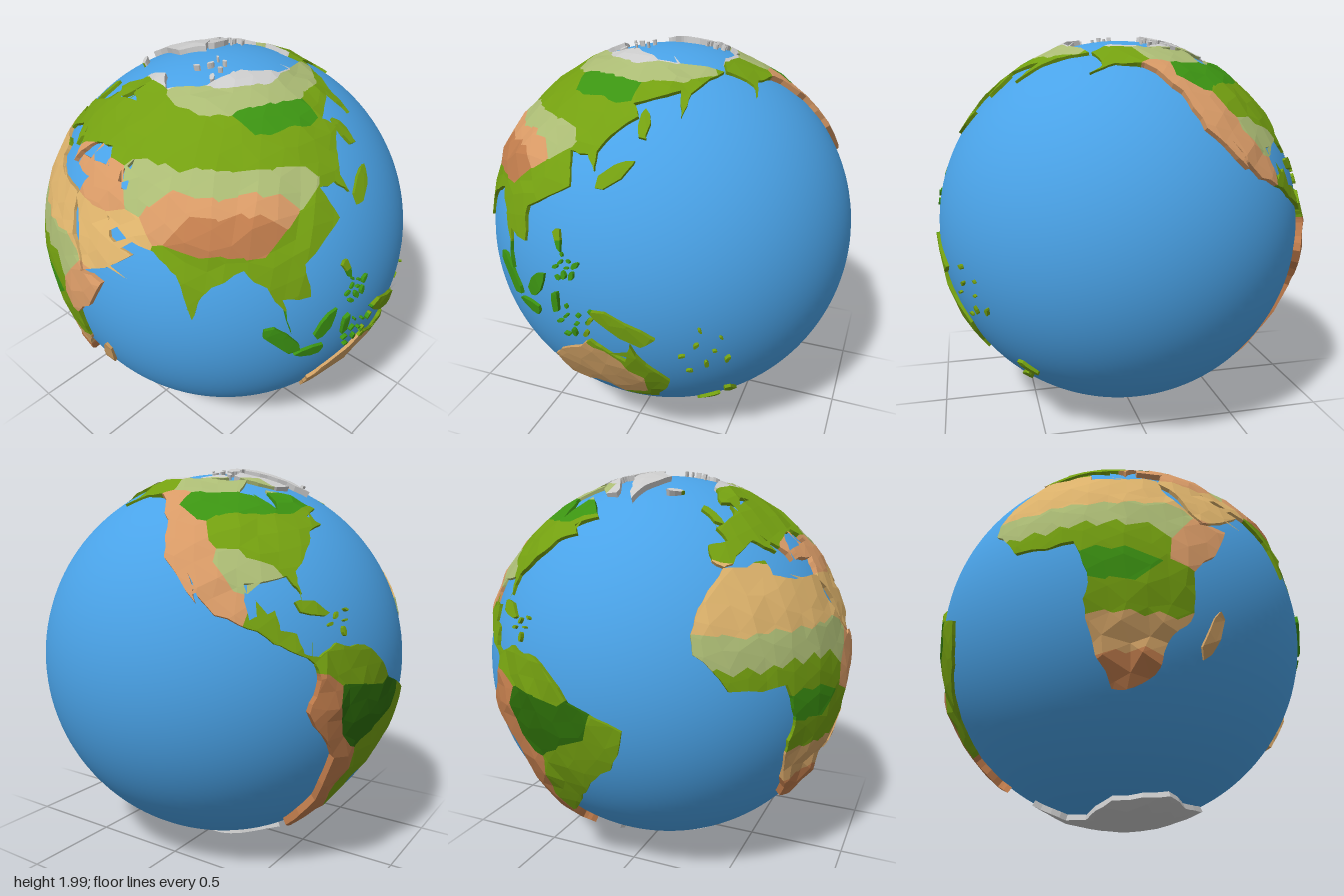
import * as THREE from 'three';

const SEA = 0.967; // sea radius
const FRONT_LON = 43.5; // longitude facing +z
const CENTER = new THREE.Vector3(0.012, 1.005, -0.017);

const COLORS = {
  ice: 0xbcbcbc, steppe: 0xabbb74, forest: 0x3c9412, green: 0x74a010, jungle: 0x2c6c08,
  desert: 0xdfb46c, tan: 0xcfa064, highland: 0xd89a66, mountain: 0xc07c4c,
};
const RISE = { ice: 0.012, highland: 0.01, mountain: 0.02 };

// Climate belts: latitude, from longitude, to longitude, end latitude if slanted
const BELTS = {
  ice: [[-80, -180, 170], [76, -180, 170], [66, -60, -35]],
  steppe: [[67, 65, 165], [65, -130, -75], [43, 58, 108], [13, -14, 32], [32, -98, -92]],
  forest: [[61, 97, 128], [56, -115, -78], [-4, 15, 22], [0, 100, 122]],
  green: [[58, -5, 90], [50, 5, 140], [60, 142, 175], [24, 104, 135, 40], [17, 76, 104], [6, -10, 26], [-11, 14, 35],
    [-6, 142, 152, -34], [-41, 147, 175], [64, -160, -138], [44, -98, -66], [36, -90, -78], [17, -92, -56, 4], [-8, -41, -57, -36]],
  jungle: [[-6, -64, -50]],
  desert: [[24, -12, 52]],
  tan: [[-26, 117, 143], [-21, 17, 47]],
  highland: [[39, 33, 43], [38, 72, 100], [5, 42, 48], [56, -128, -102, 20]],
  mountain: [[33, 80, 96], [-30, 20, 28], [-2, -79, -70, -46]],
};

// Main headlands and bays (lon, lat); the coast between them is roughened by rule
const COASTS = {
  eurasia: [-5.5, 36, -9, 38, -9, 43, -1.5, 44, -4, 48.5, 8.5, 54, 10, 57.5, 11, 54.3, 30, 60, 23, 61, 25, 65.5, 17, 58,
    6, 59, 14, 68, 27, 71, 41, 67, 70, 72, 104, 77.5, 140, 72.5, 190, 66, 163, 59, 157, 51, 158, 60, 136, 55, 140, 51,
    128, 40, 129, 35, 125, 39, 118, 39, 122, 30, 108, 21.5, 109, 12, 101, 13, 103.5, 2, 97, 17, 91, 22, 80, 15, 77.5, 8,
    73, 20, 66, 25, 48.5, 30, 51.5, 25, 59.7, 22.5, 44, 12.8, 33, 30, 36, 36.5, 27, 37, 27, 40, 42, 41.5, 48, 42, 49, 38,
    53, 38, 51, 46, 48, 42, 42, 41.5, 38, 46.5, 29, 45, 24, 40, 23, 36.5, 14, 45.5, 17, 39.5, 9, 44, -2, 37],
  africa: [-6, 35.8, 10, 37.3, 11, 33, 20, 31, 33, 31, 37, 20, 43, 11.8, 51, 11.8, 40, -4, 40.5, -15, 35, -21, 32, -29,
    25, -34, 18.5, -34.4, 12, -17, 13, -8, 9, 4.3, -8, 4.4, -17, 14, -16, 23, -9.5, 32],
  northAmerica: [-168, 66, -156, 71, -128, 70, -96, 68, -84, 69, -94, 60, -82, 55, -79, 51.5, -77, 62, -66, 58.5, -56, 52.5,
    -66, 49, -61, 46, -70, 43, -76, 36, -81, 31, -80.5, 25, -84, 30, -97, 28, -96, 18.6, -89, 21, -88, 16, -83.5, 15, -82, 10,
    -77, 8.7, -79, 7.2, -86, 11, -94, 16, -105, 20, -113, 31, -110, 23, -121, 35, -124, 47, -136, 58.5, -151, 60, -163, 55, -158, 59],
  southAmerica: [-79, 7.8, -72, 12, -62, 10.5, -50, 0, -35, -6, -39, -18, -48.5, -27, -57, -37, -65, -42, -69, -51, -66, -55,
    -74, -50, -71, -19, -81, -5, -78, 3],
  greenland: [-70, 78, -33, 83.5, -20, 76, -43.5, 60, -53, 69],
  australia: [113.5, -25, 122, -18, 131, -11.5, 136, -15, 140.5, -17.5, 142.3, -10.8, 153, -26, 149, -38, 140.5, -38, 131, -31.5, 115, -34.5],
  antarctica: [-60, -63.5, -62, -74, -35, -78, 15, -69, 55, -65.5, 115, -65, 170, -71.5, 163, -78, -150, -77, -100, -73],
};

// Long islands: lon, lat, half length and tilt in degrees
const ISLANDS = [[47, -19, 6.5, 72], [-3, 54, 4.5, 110], [-19, 65, 2.5, 0], [136, 35.5, 6, 40], [143, 49, 4.5, 95], [121.5, 16, 3, 110],
  [101, 0, 7, -45], [110, -7.3, 4.5, -5], [114, 1, 5, 55], [121, -2, 3.5, 80], [140, -5.5, 9, -22], [176, -38, 3.5, -50],
  [170, -44, 4, 45], [-78, 21, 5, -18], [-72, 68.5, 8, -40], [-110, 71, 4, 0], [-80, 80, 5, 50]];

// Scattered archipelagos: lon, lat, spread in degrees, count
const ARCHIPELAGOS = [[-98, 75.5, 5, 10], [124, 9, 4, 9], [126, -7, 6, 9], [163, -13, 9, 8], [70, 79, 6, 7], [-69, 17.5, 4, 5]];

const rad = THREE.MathUtils.degToRad;
const dir = (lon, lat) => new THREE.Vector3().setFromSphericalCoords(1, rad(90 - lat), rad(lon - FRONT_LON));

// Smooth repeatable wobble of a position
const wave = (v, k) => Math.sin(37 * v.x + 91 * v.y + 53 * v.z + 2 * k) * Math.cos(71 * v.x - 29 * v.y + 83 * v.z + k);
const wobble = (v, size) => v.clone().add(new THREE.Vector3(wave(v, 1), wave(v, 2), wave(v, 3)).multiplyScalar(size)).normalize();

const seeds = Object.entries(BELTS).flatMap(([climate, belts]) => belts.flatMap(([lat, from, to, end = lat]) => {
  const steps = Math.ceil(Math.max(Math.abs(to - from), Math.abs(end - lat)) / 8);
  return Array.from({ length: steps + 1 }, (_, i) => ({
    climate, p: wobble(dir(THREE.MathUtils.lerp(from, to, i / steps), THREE.MathUtils.lerp(lat, end, i / steps)), 0.02),
  }));
}));
const nearest = (v) => seeds.reduce((a, b) => (b.p.dot(v) > a.p.dot(v) ? b : a));

// Coastline with wobbled midpoints, halved twice
function coast(flat) {
  let points = Array.from({ length: flat.length / 2 }, (_, i) => dir(flat[2 * i], flat[2 * i + 1]));
  for (let level = 0; level < 2; level++) {
    points = points.flatMap((a, i) => {
      const b = points[(i + 1) % points.length];
      return [a, wobble(a.clone().add(b).normalize(), 0.1 * a.distanceTo(b))];
    });
  }
  return points;
}

// Uneven slim oval around a place
function island([lon, lat, length, tilt], slim = 0.35) {
  const middle = dir(lon, lat), east = dir(lon + 90, 0), north = middle.clone().cross(east);
  return Array.from({ length: 8 }, (_, i) => {
    const p = new THREE.Vector2(Math.cos(i * Math.PI / 4), slim * Math.sin(i * Math.PI / 4)).rotateAround(new THREE.Vector2(), rad(tilt));
    p.multiplyScalar(rad(length));
    return wobble(middle.clone().addScaledVector(east, p.x).addScaledVector(north, p.y).normalize(), 0.15 * rad(length));
  });
}

// Small islands spread on a sunflower spiral
const archipelago = ([lon, lat, spread, count]) => Array.from({ length: count }, (_, i) => {
  const r = spread * Math.sqrt((i + 0.5) / count), a = 2.4 * i;
  return island([lon + r * Math.cos(a) / Math.cos(rad(lat)), lat + r * Math.sin(a), 0.7 + 0.3 * (i % 3), 50 * i], 0.5);
});

// Keep the part of a spherical polygon on the positive side of every plane through the centre
function clip(poly, planes) {
  for (const n of planes) {
    const out = [];
    poly.forEach((a, i) => {
      const b = poly[(i + 1) % poly.length], da = n.dot(a), db = n.dot(b);
      if (da >= 0) out.push(a);
      if ((da >= 0) !== (db >= 0)) out.push(a.clone().lerp(b, da / (da - db)).normalize());
    });
    poly = out;
    if (poly.length < 3) return [];
  }
  return poly;
}

// Jittered terrain node, raised according to climate
function node(v) {
  const p = wobble(v, 0.022);
  return p.multiplyScalar(SEA + 0.017 + 0.006 * wave(v, 4) + (RISE[nearest(p).climate] ?? 0));
}

// Coarse facets covering the whole globe, each with its climate cells
function makeFacets() {
  const pos = new THREE.IcosahedronGeometry(1, 11).attributes.position;
  const facets = [];
  for (let i = 0; i < pos.count; i += 3) {
    const c = [0, 1, 2].map((k) => node(new THREE.Vector3().fromBufferAttribute(pos, i + k)));
    const next = (k) => c[(k + 1) % 3].clone();
    const u = next(0).sub(c[0]).normalize();
    const normal = u.clone().cross(c[2].clone().sub(c[0])).normalize();
    const samples = [...c, ...c.map((p, k) => next(k).add(p)), next(0).add(c[0]).add(c[2])];
    const near = [...new Set(samples.map(nearest))];
    facets.push({
      normal, u, w: normal.clone().cross(u), d: normal.dot(c[0]),
      sides: c.map((p, k) => p.clone().cross(next(k)).normalize()),
      cells: near.map((s) => ({
        climate: s.climate,
        planes: near.filter((o) => o !== s).map((o) => s.p.clone().sub(o.p).normalize()),
      })),
    });
  }
  return facets;
}

// Add the top and coastal walls of one clipped piece to a list of triangle corners
function addPiece(out, poly, facet, planes) {
  const top = poly.map((p) => p.clone().multiplyScalar(facet.d / facet.normal.dot(p)));
  const flat = top.map((p) => new THREE.Vector2(p.dot(facet.u), p.dot(facet.w)));
  const area = THREE.ShapeUtils.area(flat);
  if (Math.abs(area) < 1e-8) return;
  if (area < 0) {
    top.reverse();
    flat.reverse();
  }
  for (const [a, b, c] of THREE.ShapeUtils.triangulateShape(flat, [])) {
    const ccw = flat[b].clone().sub(flat[a]).cross(flat[c].clone().sub(flat[a])) > 0;
    out.push(top[a], ...(ccw ? [top[b], top[c]] : [top[c], top[b]]));
  }
  top.forEach((a, i) => {
    const b = top[(i + 1) % top.length], mid = a.clone().add(b).normalize();
    if (planes.some((n) => Math.abs(n.dot(mid)) < 1e-6)) return;
    const [a0, b0] = [a, b].map((p) => p.clone().setLength(SEA - 0.01));
    out.push(a0, b0, b, a0, b, a);
  });
}

export function createModel() {
  const globe = new THREE.Group();
  globe.name = 'globe';
  const ocean = new THREE.Mesh(new THREE.SphereGeometry(SEA, 96, 64), new THREE.MeshStandardMaterial({ color: 0x4aa3e8 }));
  ocean.name = 'ocean';
  ocean.position.copy(CENTER);
  globe.add(ocean);

  const lands = Object.entries(COASTS).map(([name, flat]) => [name, [coast(flat)]]);
  lands.push(['longIslands', ISLANDS.map((spec) => island(spec))], ['smallIslands', ARCHIPELAGOS.flatMap(archipelago)]);
  const facets = makeFacets();
  for (const [name, outlines] of lands) {
    const land = new THREE.Group();
    land.name = name;
    land.position.copy(CENTER);
    const corners = {};
    for (const outline of outlines) {
      for (const facet of facets) {
        const part = clip(outline, facet.sides);
        if (!part.length) continue;
        for (const { climate, planes } of facet.cells) {
          const piece = clip(part, planes);
          if (piece.length) addPiece((corners[climate] ??= []), piece, facet, [...facet.sides, ...planes]);
        }
      }
    }
    // One mesh per climate colour
    for (const [climate, points] of Object.entries(corners)) {
      const geometry = new THREE.BufferGeometry().setFromPoints(points);
      geometry.computeVertexNormals();
      const mesh = new THREE.Mesh(geometry, new THREE.MeshStandardMaterial({ color: COLORS[climate], flatShading: true }));
      mesh.name = `${name} ${climate}`;
      land.add(mesh);
    }
    globe.add(land);
  }
  return globe;
}
